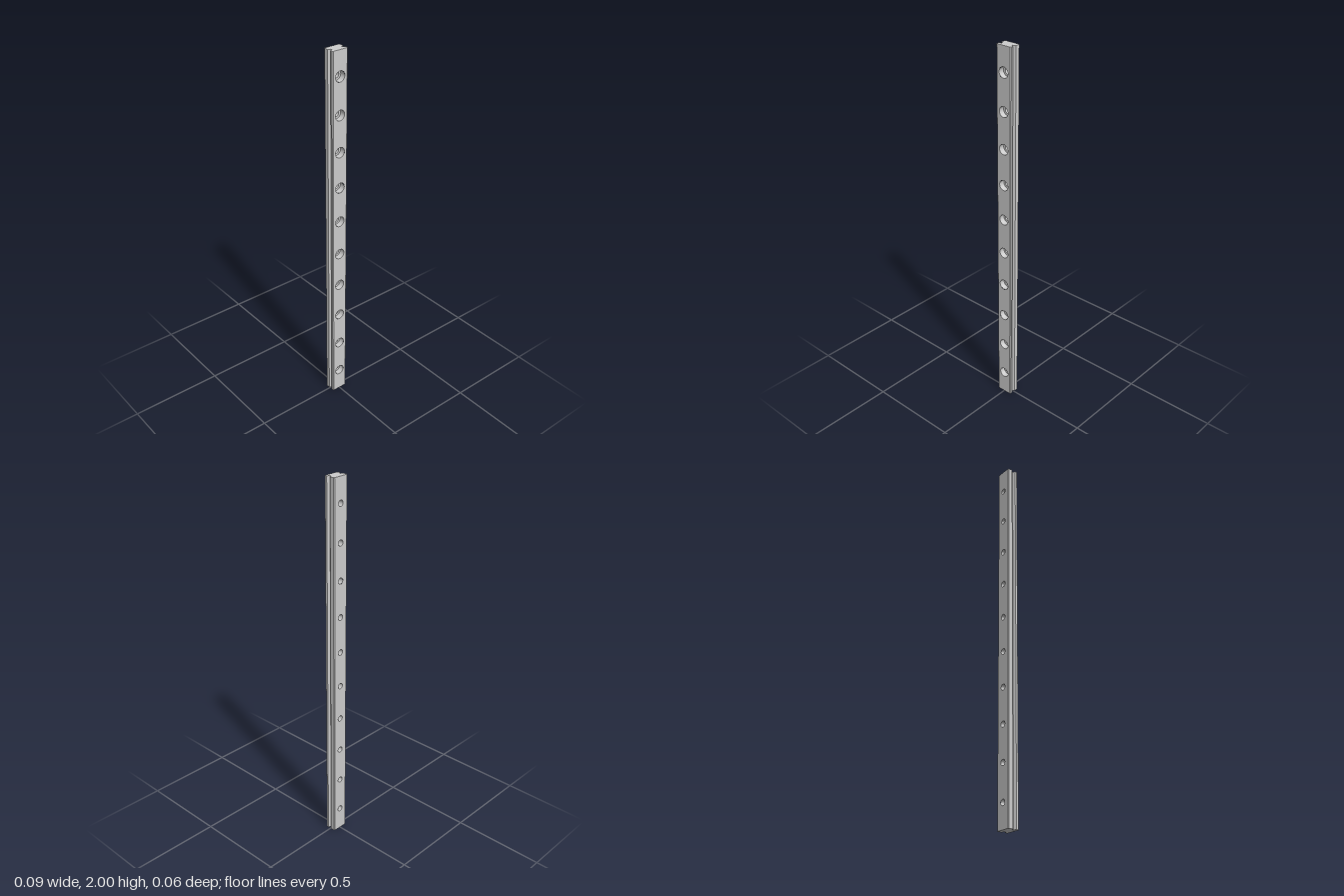
import * as THREE from 'three';

const LENGTH = 2, HALF_W = 0.045, HALF_D = 0.031, CHAMFER = 0.004;
const BORE_R = 0.0275, HOLE_R = 0.0158, STEP_Z = 0.001; // counterbore, through hole, ledge
const SEG = 32;
const HOLES = Array.from({ length: 10 }, (_, i) => 0.129 + i * 0.19356);

// Half cross-section (x, z) from the front edge round to the back edge
const PROFILE = [
  [HALF_W - CHAMFER, HALF_D], [HALF_W, HALF_D - CHAMFER],
  [HALF_W, 0.016], [0.031, 0.009], [0.031, 0.002], [HALF_W, -0.005],
  [HALF_W, -HALF_D + CHAMFER], [HALF_W - CHAMFER, -HALF_D],
];

const grey = new THREE.MeshStandardMaterial({ color: 0xcccccc });
const inner = new THREE.MeshStandardMaterial({ color: 0xcccccc, side: THREE.DoubleSide });

function add(parent, name, geometry, material = grey) {
  const mesh = new THREE.Mesh(geometry, material);
  mesh.name = name;
  parent.add(mesh);
  return mesh;
}

// Broad face pierced by the row of holes
function piercedFace(radius) {
  const w = HALF_W - CHAMFER;
  const shape = new THREE.Shape([[-w, 0], [w, 0], [w, LENGTH], [-w, LENGTH]]
    .map(([x, y]) => new THREE.Vector2(x, y)));
  for (const y of HOLES) {
    shape.holes.push(new THREE.Path().absarc(0, y, radius, 0, Math.PI * 2, true));
  }
  return new THREE.ShapeGeometry(shape, SEG);
}

// Grooved flank: the half profile swept along the rail, with crisp edges
function flank(side) {
  const positions = [];
  for (let i = 0; i < PROFILE.length - 1; i++) {
    const [p, q] = side > 0 ? [PROFILE[i], PROFILE[i + 1]] : [PROFILE[i + 1], PROFILE[i]];
    const corner = ([x, z], y) => [x * side, y, z];
    const a = corner(p, 0), b = corner(q, 0), c = corner(q, LENGTH), d = corner(p, LENGTH);
    positions.push(...a, ...b, ...c, ...a, ...c, ...d);
  }
  const geometry = new THREE.BufferGeometry();
  geometry.setAttribute('position', new THREE.Float32BufferAttribute(positions, 3));
  geometry.computeVertexNormals();
  return geometry;
}

// End cap with the full cross-section; facing is +1 for the top, -1 for the bottom
function endCap(facing) {
  const outline = [...PROFILE, ...PROFILE.map(([x, z]) => [-x, z]).reverse()];
  const shape = new THREE.Shape(outline.map(([x, z]) => new THREE.Vector2(x, -facing * z)));
  return new THREE.ShapeGeometry(shape).rotateX(-facing * Math.PI / 2);
}

// Open round wall between two depths
function roundWall(radius, z0, z1) {
  return new THREE.CylinderGeometry(radius, radius, z1 - z0, SEG, 1, true)
    .rotateX(Math.PI / 2).translate(0, 0, (z0 + z1) / 2);
}

export function createModel() {
  const rail = new THREE.Group();
  rail.name = 'guideRail';

  add(rail, 'frontFace', piercedFace(BORE_R)).position.z = HALF_D;
  const back = add(rail, 'backFace', piercedFace(HOLE_R).rotateY(Math.PI));
  back.position.z = -HALF_D;
  add(rail, 'leftFlank', flank(1));
  add(rail, 'rightFlank', flank(-1));
  add(rail, 'topEnd', endCap(1)).position.y = LENGTH;
  add(rail, 'bottomEnd', endCap(-1));

  // Counterbored screw holes
  const bore = roundWall(BORE_R, STEP_Z, HALF_D);
  const shaft = roundWall(HOLE_R, -HALF_D, STEP_Z);
  const ledge = new THREE.RingGeometry(HOLE_R, BORE_R, SEG).translate(0, 0, STEP_Z);
  for (const y of HOLES) {
    const hole = new THREE.Group();
    hole.name = 'screwHole';
    hole.position.y = y;
    add(hole, 'counterbore', bore, inner);
    add(hole, 'ledge', ledge, inner);
    add(hole, 'throughHole', shaft, inner);
    rail.add(hole);
  }
  return rail;
}
